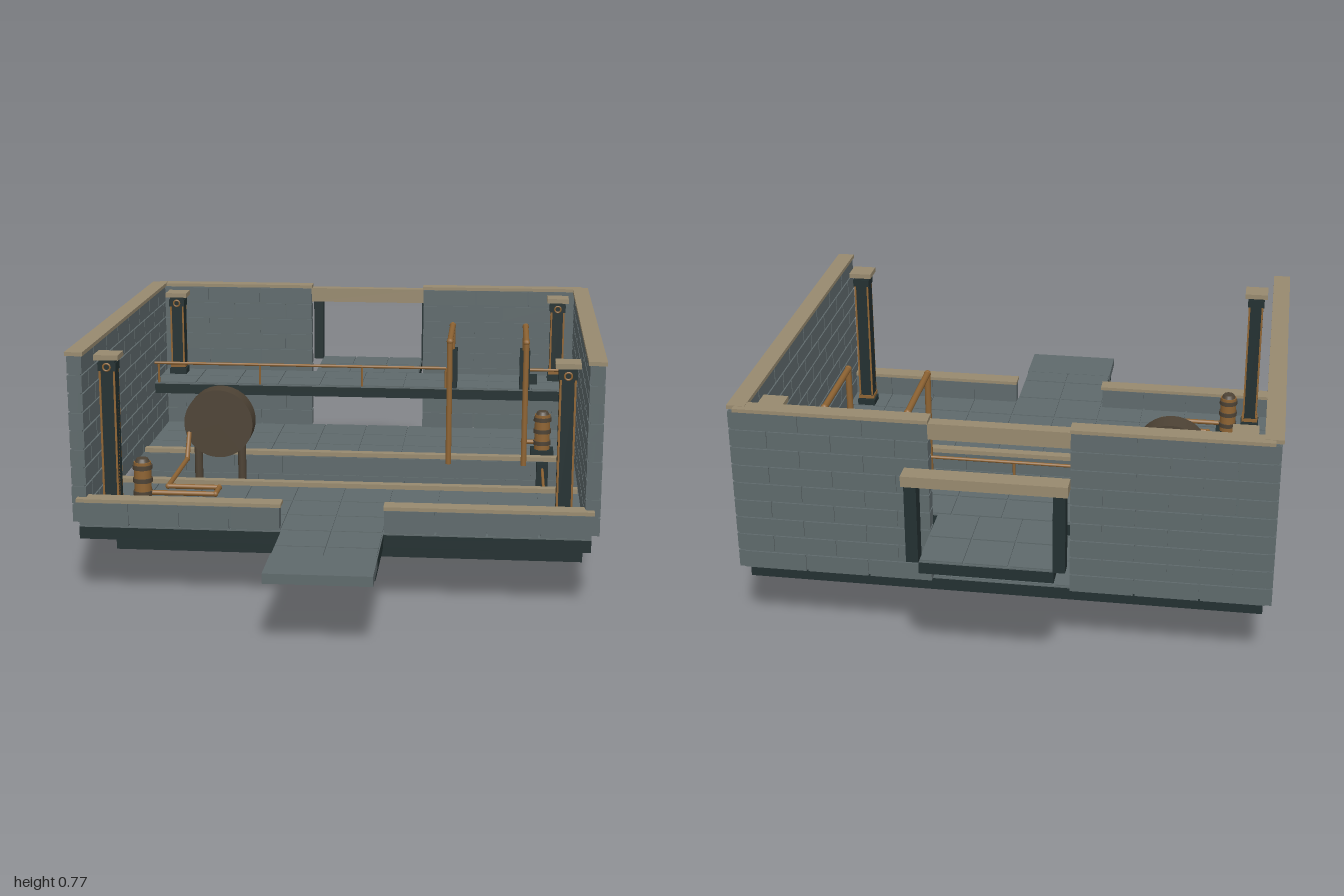
import * as THREE from 'three';
import { mergeGeometries } from 'three/addons/utils/BufferGeometryUtils.js';

const mat = (name, color) => Object.assign(new THREE.MeshStandardMaterial({ color }), { name });

export function createModel() {
  const root = new THREE.Group();
  root.name = 'pumpRoom';
  const stone = mat('grey stone', 0x5f6a6c);
  const dark = mat('dark slate', 0x233031);
  const tan = mat('tan trim', 0x988a6f);
  const copper = mat('copper', 0x8f6433);
  const bronze = mat('dark bronze', 0x4e4335);

  // Box geometry from its limits
  const boxGeo = (x0, x1, y0, y1, z0, z1) =>
    new THREE.BoxGeometry(x1 - x0, y1 - y0, z1 - z0)
      .translate((x0 + x1) / 2, (y0 + y1) / 2, (z0 + z1) / 2);
  const add = (name, geo, material, parent = root) => {
    const m = new THREE.Mesh(geo, material);
    m.name = name;
    parent.add(m);
    return m;
  };
  const box = (name, material, ...b) => add(name, boxGeo(...b), material);

  // Running-bond wall: raised blocks around a slightly thinner core
  function brickWall(name, x0, x1, y0, y1, z0, z1, rows) {
    const alongX = x1 - x0 > z1 - z0;
    const [a0, a1, t0, t1] = alongX ? [x0, x1, z0, z1] : [z0, z1, x0, x1];
    const place = (p, q, b, c, s, t) => alongX ? boxGeo(p, q, b, c, s, t) : boxGeo(s, t, b, c, p, q);
    const d = 0.005, g = 0.003, h = (y1 - y0) / rows;
    const n = Math.max(1, Math.round((a1 - a0) / 0.17)), w = (a1 - a0) / n;
    const parts = [place(a0 + g, a1 - g, y0 + g, y1, t0 + d, t1 - d)];
    for (let r = 0; r < rows; r++) {
      const shift = r % 2 ? w / 2 : 0;
      for (let i = 0; i <= n; i++) {
        const p = Math.max(a0, a0 + i * w - shift), q = Math.min(a1, a0 + (i + 1) * w - shift);
        if (q - p < 0.02) continue;
        parts.push(place(p === a0 ? p : p + g, q === a1 ? q : q - g,
          y0 + r * h + (r ? g : 0), y0 + (r + 1) * h - g, t0, t1));
      }
    }
    add(name, mergeGeometries(parts), stone);
  }

  // Dark slab with raised stone tiles on top
  function tiledFloor(name, x0, x1, y0, y1, z0, z1) {
    box(name + 'Slab', dark, x0, x1, y0, y1 - 0.008, z0, z1);
    const parts = [boxGeo(x0, x1, y1 - 0.008, y1 - 0.004, z0, z1)];
    const nx = Math.max(1, Math.round((x1 - x0) / 0.15)), nz = Math.max(1, Math.round((z1 - z0) / 0.15));
    const w = (x1 - x0) / nx, l = (z1 - z0) / nz, g = 0.003;
    for (let i = 0; i < nx; i++) for (let j = 0; j < nz; j++)
      parts.push(boxGeo(x0 + i * w + g, x0 + (i + 1) * w - g, y1 - 0.004, y1,
        z0 + j * l + g, z0 + (j + 1) * l - g));
    add(name + 'Tiles', mergeGeometries(parts), stone);
  }

  // Straight pipe runs with round elbows
  function pipe(name, points, r, material = copper) {
    const v = points.map(p => new THREE.Vector3(...p)), parts = [];
    for (let i = 0; i < v.length - 1; i++) {
      const dir = v[i + 1].clone().sub(v[i]);
      const q = new THREE.Quaternion().setFromUnitVectors(new THREE.Vector3(0, 1, 0), dir.clone().normalize());
      const mid = v[i].clone().add(v[i + 1]).multiplyScalar(0.5);
      parts.push(new THREE.CylinderGeometry(r, r, dir.length(), 10).applyQuaternion(q).translate(mid.x, mid.y, mid.z));
      if (i) parts.push(new THREE.SphereGeometry(r * 1.15, 10, 8).translate(v[i].x, v[i].y, v[i].z));
    }
    add(name, mergeGeometries(parts), material);
  }

  // Floors, channel and entrance bridge
  tiledFloor('frontFloor', -0.775, 0.775, 0.19, 0.236, 0.13, 0.595);
  tiledFloor('backFloor', -0.775, 0.775, 0.19, 0.236, -0.72, -0.28);
  tiledFloor('bridge', -0.155, 0.155, 0.19, 0.236, 0.595, 0.9);
  box('bridgeEnd', stone, -0.156, 0.156, 0.207, 0.237, 0.83, 1);
  box('channelBed', dark, -0.775, 0.775, 0, 0.04, -0.268, 0.12);
  brickWall('channelFrontWall', -0.775, 0.775, 0.04, 0.235, 0.108, 0.132, 3);
  brickWall('channelBackWall', -0.775, 0.775, 0.04, 0.235, -0.28, -0.256, 3);
  box('channelFrontCurb', tan, -0.752, 0.752, 0.235, 0.25, 0.1, 0.13);
  box('channelBackCurb', tan, -0.752, 0.752, 0.235, 0.25, -0.288, -0.258);

  // Walls and their caps, mirrored left and right
  for (const s of [-1, 1]) {
    const span = (a, b) => s > 0 ? [a, b] : [-b, -a];
    brickWall('sideWall', ...span(0.755, 0.8), 0.236, 0.755, -0.745, 0.575, 9);
    box('sideWallCap', tan, ...span(0.75, 0.805), 0.755, 0.767, -0.735, 0.577);
    brickWall('backWall', ...span(0.207, 0.78), 0.236, 0.755, -0.748, -0.705, 9);
    box('backWallCap', tan, ...span(0.205, 0.782), 0.755, 0.766, -0.755, -0.702);
    brickWall('lowFrontWall', ...span(0.157, 0.775), 0.236, 0.306, 0.55, 0.594, 1);
    box('lowWallCap', tan, ...span(0.155, 0.782), 0.306, 0.317, 0.545, 0.6);
    box('gatePost', dark, ...span(0.19, 0.225), 0.44, 0.685, -0.993, -0.948);
  }
  box('doorLintel', tan, -0.207, 0.207, 0.705, 0.755, -0.748, -0.71);
  box('gateBeam', tan, -0.232, 0.232, 0.68, 0.712, -1, -0.945);

  // Raised walkway and rear landing
  tiledFloor('walkway', -0.755, 0.755, 0.4, 0.443, -0.705, -0.475);
  tiledFloor('landing', -0.192, 0.192, 0.4, 0.443, -0.983, -0.705);

  // Walkway railing with a gap at the pipe arches
  pipe('railLeft', [[-0.755, 0.512, -0.478], [0.3, 0.512, -0.478]], 0.005);
  pipe('railRight', [[0.58, 0.512, -0.478], [0.755, 0.512, -0.478]], 0.005);
  for (const x of [-0.74, -0.37, 0, 0.3, 0.74])
    pipe('railPost', [[x, 0.44, -0.478], [x, 0.512, -0.478]], 0.004);

  // Corner pillars with copper edge strips, collar and cap
  for (const x of [-0.695, 0.695]) for (const [z, y0] of [[0.475, 0.236], [-0.64, 0.443]]) {
    const b = (name, m, hw, ya, yb) => box(name, m, x - hw, x + hw, ya, yb, z - hw, z + hw);
    b('pillar', dark, 0.025, y0, 0.73);
    b('pillarBase', dark, 0.031, y0, y0 + 0.02);
    b('pillarCollar', copper, 0.028, y0 + 0.025, y0 + 0.037);
    b('pillarCap', tan, 0.038, 0.73, 0.746);
    b('pillarNeck', dark, 0.028, 0.695, 0.72);
    for (const dx of [-0.022, 0.022])
      box('pillarStrip', copper, x + dx - 0.003, x + dx + 0.003, y0 + 0.04, 0.695, z - 0.028, z + 0.028);
    const ring = add('pillarRing', new THREE.TorusGeometry(0.011, 0.003, 6, 14), copper);
    ring.position.set(x, 0.707, z + 0.029);
    if (z > 0) pipe('pillarValve', [[x, 0.27, z + 0.02], [x, 0.27, z + 0.06]], 0.012);
  }

  // Round drum on two legs standing in the channel
  add('drum', new THREE.CylinderGeometry(0.117, 0.117, 0.075, 36).rotateX(Math.PI / 2), bronze)
    .position.set(-0.455, 0.392, -0.107);
  for (const x of [-0.53, -0.38]) {
    pipe('drumLeg', [[x, 0.04, -0.1], [x, 0.36, -0.1]], 0.014, bronze);
    box('drumFoot', dark, x - 0.037, x + 0.037, 0.04, 0.058, -0.137, -0.063);
  }

  // Pumps: square foot and stepped barrel
  for (const [x, z] of [[-0.62, 0.385], [0.645, -0.355]]) {
    box('pumpFoot', dark, x - 0.04, x + 0.04, 0.236, 0.256, z - 0.036, z + 0.036);
    add('pumpBarrel', new THREE.CylinderGeometry(0.027, 0.027, 0.125, 18), copper).position.set(x, 0.318, z);
    for (const y of [0.28, 0.322, 0.364])
      add('pumpBand', new THREE.CylinderGeometry(0.031, 0.031, 0.014, 18), bronze).position.set(x, y, z);
    add('pumpLid', new THREE.CylinderGeometry(0.018, 0.024, 0.012, 18), bronze).position.set(x, 0.386, z);
  }

  // Pipework
  pipe('feedPipe', [[-0.62, 0.28, 0.385], [-0.39, 0.28, 0.385], [-0.39, 0.28, 0.31],
    [-0.555, 0.28, 0.31], [-0.555, 0.28, -0.02], [-0.555, 0.36, -0.07]], 0.008);
  for (const x of [0.322, 0.58]) {
    pipe('archPipe', [[x, 0.236, -0.2], [x, 0.665, -0.2], [x, 0.665, -0.495], [x, 0.56, -0.495]], 0.01);
    box('archSocket', dark, x - 0.018, x + 0.018, 0.443, 0.58, -0.53, -0.462);
  }
  pipe('pumpOutlet', [[0.645, 0.28, -0.355], [0.58, 0.28, -0.355], [0.58, 0.28, -0.2]], 0.008);

  // Channel bar with its upright, and a small box on the walkway
  pipe('channelBar', [[0.645, 0.22, -0.26], [0.645, 0.22, 0.11]], 0.005);
  box('channelUpright', dark, 0.625, 0.665, 0.04, 0.236, -0.252, -0.21);
  box('controlBox', dark, 0.592, 0.626, 0.443, 0.475, -0.582, -0.55);

  return root;
}
